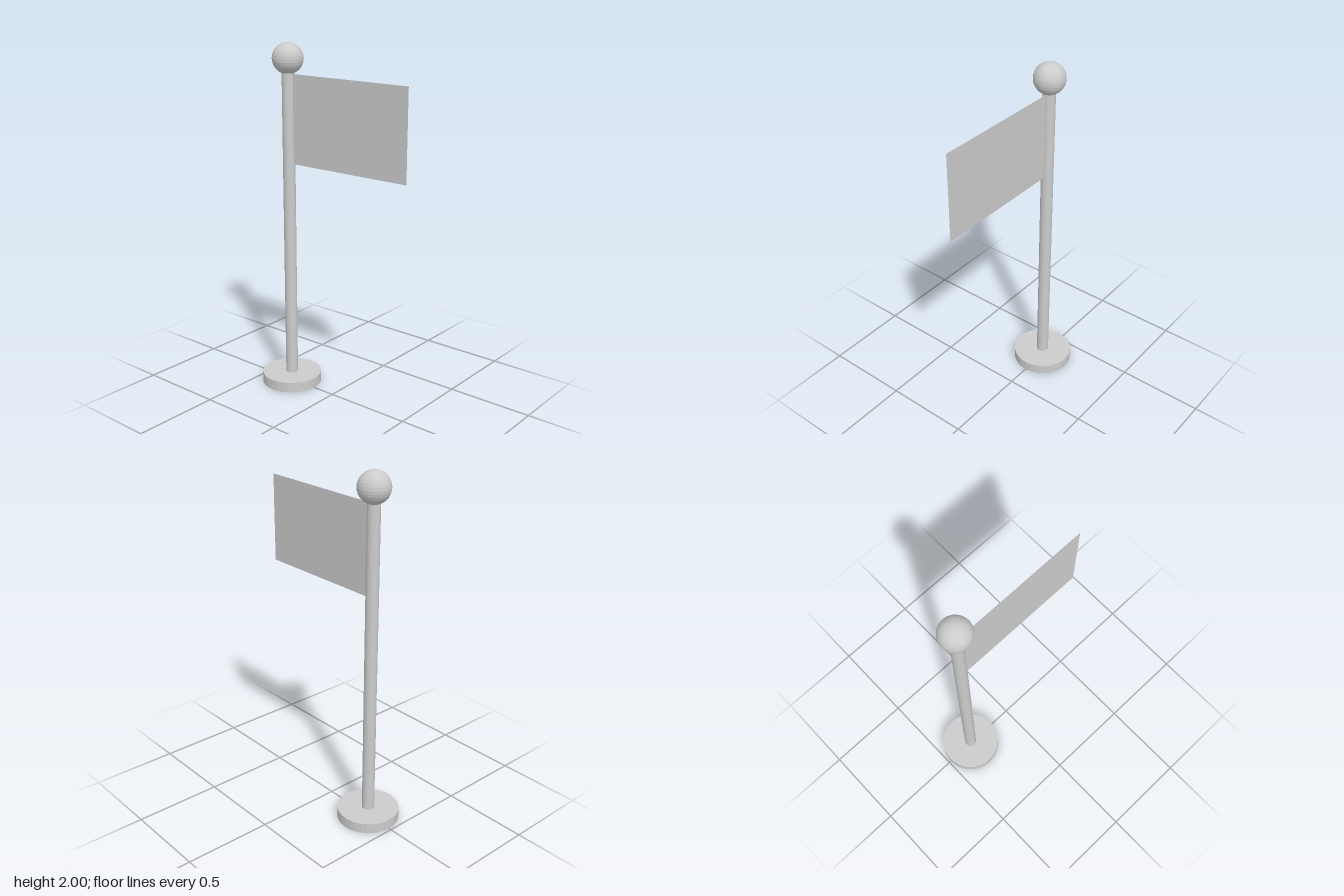
import * as THREE from 'three';

export function createModel() {
  const group = new THREE.Group();
  const poleX = -0.313;
  const grey = new THREE.MeshStandardMaterial({ color: 0xcccccc, flatShading: true });
  const cloth = new THREE.MeshStandardMaterial({ color: 0xcccccc, side: THREE.DoubleSide });

  const add = (name, geometry, x, y, material = grey) => {
    const mesh = new THREE.Mesh(geometry, material);
    mesh.name = name;
    mesh.position.set(x, y, 0);
    group.add(mesh);
  };

  // Round foot, standing on the ground
  add('base', new THREE.CylinderGeometry(0.174, 0.174, 0.06, 32), poleX, 0.03);

  // Pole, from the foot up into the ball
  add('pole', new THREE.CylinderGeometry(0.035, 0.035, 1.80, 32), poleX, 0.945);

  // Ball on top
  add('finial', new THREE.SphereGeometry(0.087, 32, 16), poleX, 1.913);

  // Thin flat flag, starting at the pole's surface
  const flagLeft = poleX + 0.034, flagRight = 0.487;
  add('flag', new THREE.PlaneGeometry(flagRight - flagLeft, 0.5), (flagLeft + flagRight) / 2, 1.58, cloth);

  return group;
}
